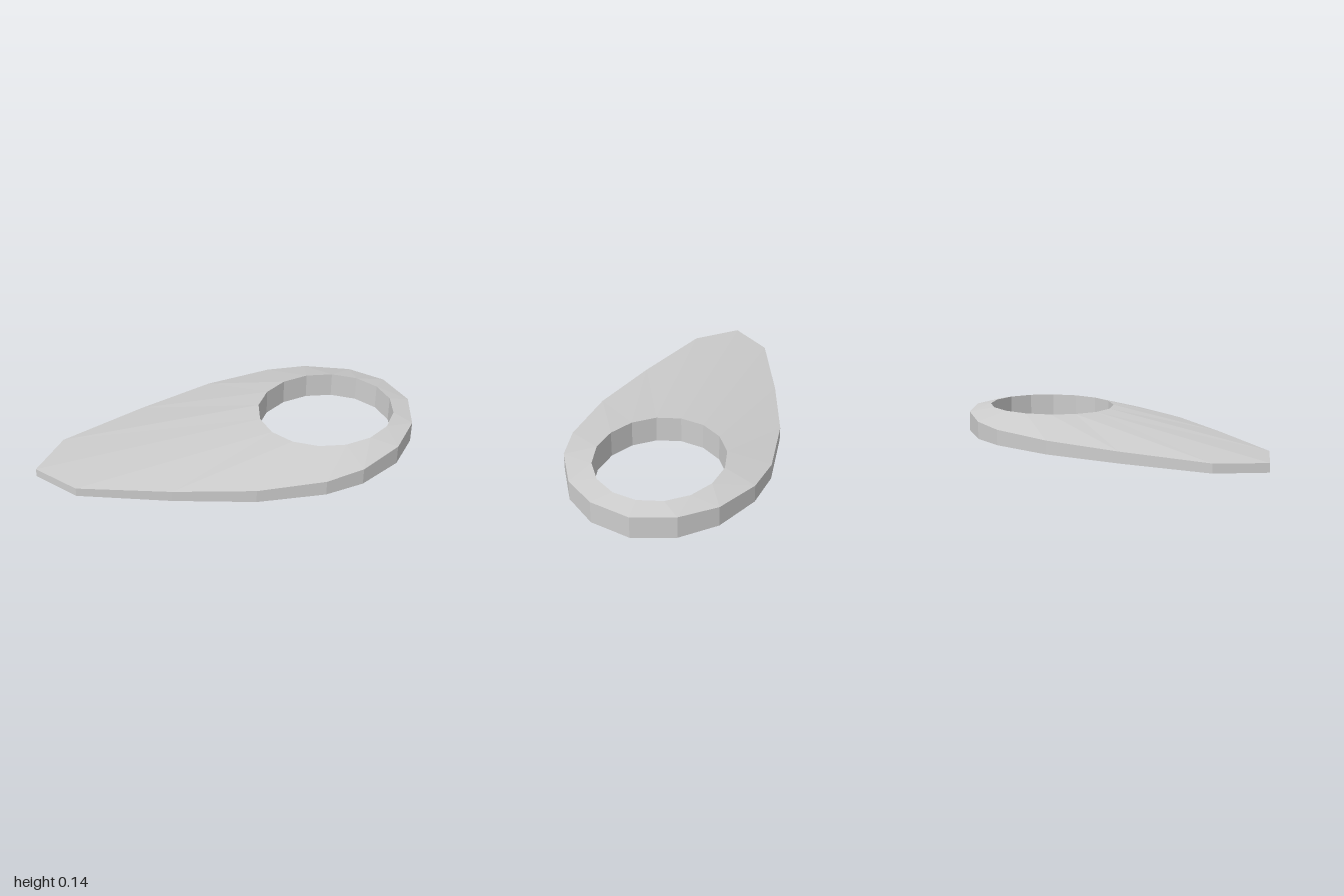
import * as THREE from 'three';

// Half outline from the broad end (+x) to the tip (-x): x, z, top height
const RIM = [
  [1, 0, 0.115], [0.94, 0.208, 0.115], [0.8, 0.367, 0.105], [0.575, 0.48, 0.092], [0.37, 0.513, 0.081],
  [0.02, 0.48, 0.07], [-0.38, 0.365, 0.058], [-0.83, 0.205, 0.047], [-1, 0, 0.045],
];
const SIDES = 16;
const HOLE = { x: 0.535, rx: 0.36, rz: 0.322, top: 0.137 };

// Flat-shaded mesh from quads with counter-clockwise corners, split along the shorter diagonal
function quadMesh(name, quads, material) {
  const points = [];
  for (const [a, b, c, d] of quads) {
    if (a.distanceTo(c) <= b.distanceTo(d)) points.push(a, b, c, a, c, d);
    else points.push(a, b, d, b, c, d);
  }
  const geometry = new THREE.BufferGeometry().setFromPoints(points);
  geometry.computeVertexNormals();
  const mesh = new THREE.Mesh(geometry, material);
  mesh.name = name;
  return mesh;
}

export function createModel() {
  const grey = new THREE.MeshStandardMaterial({ color: 0xcccccc });
  grey.name = 'light grey';

  // Matching rings for the outer rim and the hole
  const outer = [], inner = [];
  for (let i = 0; i < SIDES; i++) {
    const [x, z, y] = RIM[i <= 8 ? i : SIDES - i];
    outer.push(new THREE.Vector3(x, y, i <= 8 ? z : -z));
    const a = (i / SIDES) * Math.PI * 2;
    inner.push(new THREE.Vector3(HOLE.x + HOLE.rx * Math.cos(a), HOLE.top, HOLE.rz * Math.sin(a)));
  }
  const flatten = (p) => new THREE.Vector3(p.x, 0, p.z);
  const outerBase = outer.map(flatten), innerBase = inner.map(flatten);

  const top = [], bottom = [], outerWall = [], holeWall = [];
  for (let i = 0; i < SIDES; i++) {
    const j = (i + 1) % SIDES;
    top.push([outer[j], outer[i], inner[i], inner[j]]);
    bottom.push([innerBase[j], innerBase[i], outerBase[i], outerBase[j]]);
    outerWall.push([outerBase[j], outerBase[i], outer[i], outer[j]]);
    holeWall.push([innerBase[i], innerBase[j], inner[j], inner[i]]);
  }

  const group = new THREE.Group();
  group.name = 'taperedPlate';
  group.add(
    quadMesh('slopedTop', top, grey),
    quadMesh('flatBottom', bottom, grey),
    quadMesh('outerWall', outerWall, grey),
    quadMesh('holeWall', holeWall, grey),
  );
  return group;
}
